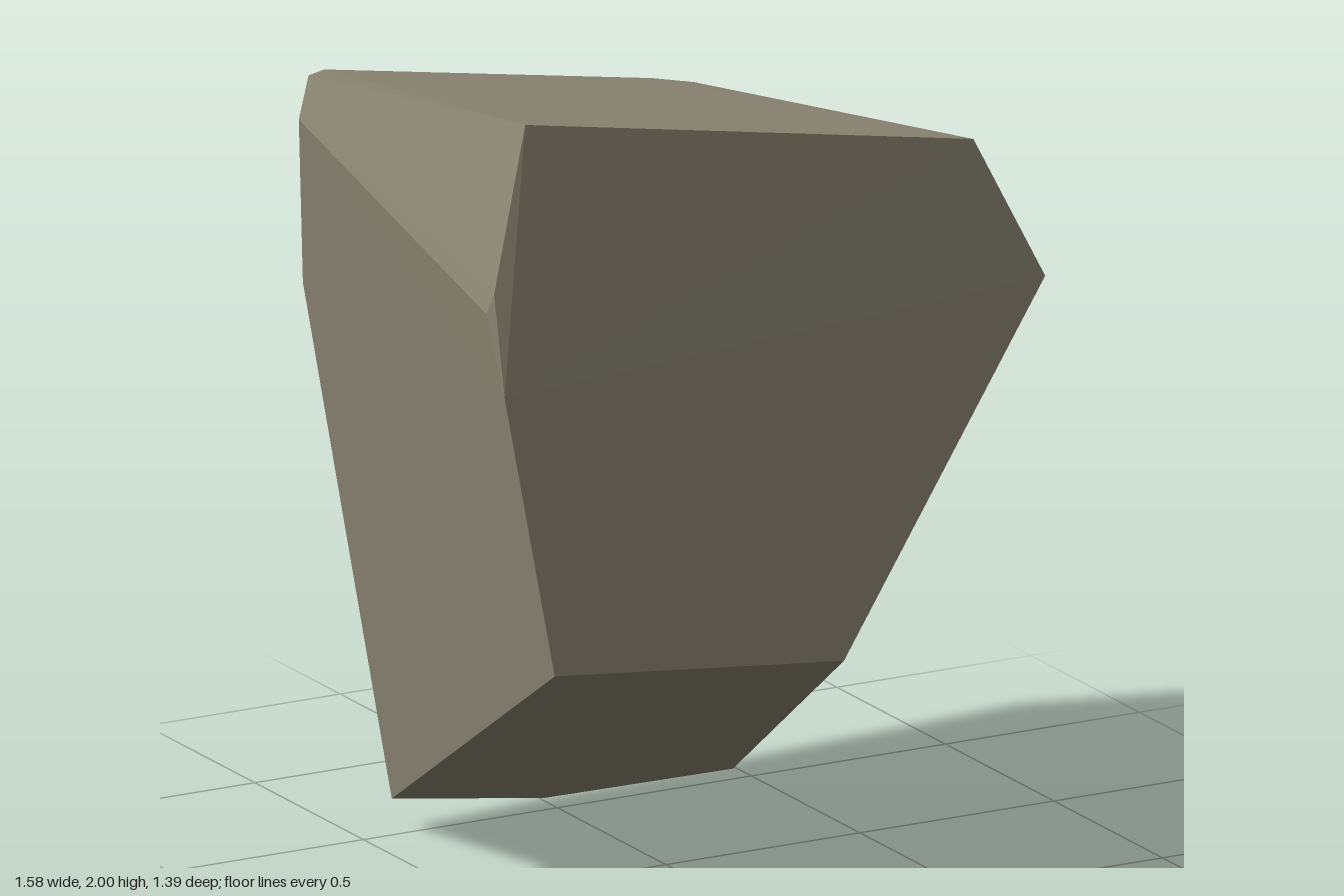
import * as THREE from 'three';
import { ConvexGeometry } from 'three/addons/geometries/ConvexGeometry.js';

export function createModel() {
  const group = new THREE.Group();
  group.name = 'rock';
  const stone = new THREE.MeshStandardMaterial({ color: 0x8f8975 });
  stone.name = 'stone';

  // Corners of the faceted boulder
  const corners = [
    // sloping top
    [-0.69, 2.0, 0.585], [0.44, 1.81, 0.63], [0.38, 1.637, -0.55],
    [0.3, 1.645, -0.6], [-0.59, 1.82, -0.52], [-0.675, 1.84, -0.44],
    // right side
    [0.61, 1.47, 0.657], [0.79, 0.88, -0.215],
    // front lower edge
    [0.07, 0.655, 0.695], [-0.66, 0.72, 0.667],
    // small chip on the left front edge
    [-0.78, 1.62, 0.603], [-0.79, 1.57, 0.585], [-0.767, 1.38, 0.628],
    // back shoulder
    [0.1, 1.43, -0.697], [-0.51, 1.58, -0.632], [-0.6, 1.3, -0.6], [-0.7, 1.74, -0.44],
    // foot
    [0.38, 0.07, -0.37], [0.01, 0, -0.58], [-0.41, 0.075, -0.53],
  ].map((c) => new THREE.Vector3(...c));

  const boulder = new THREE.Mesh(new ConvexGeometry(corners), stone);
  boulder.name = 'boulder';
  group.add(boulder);
  return group;
}
